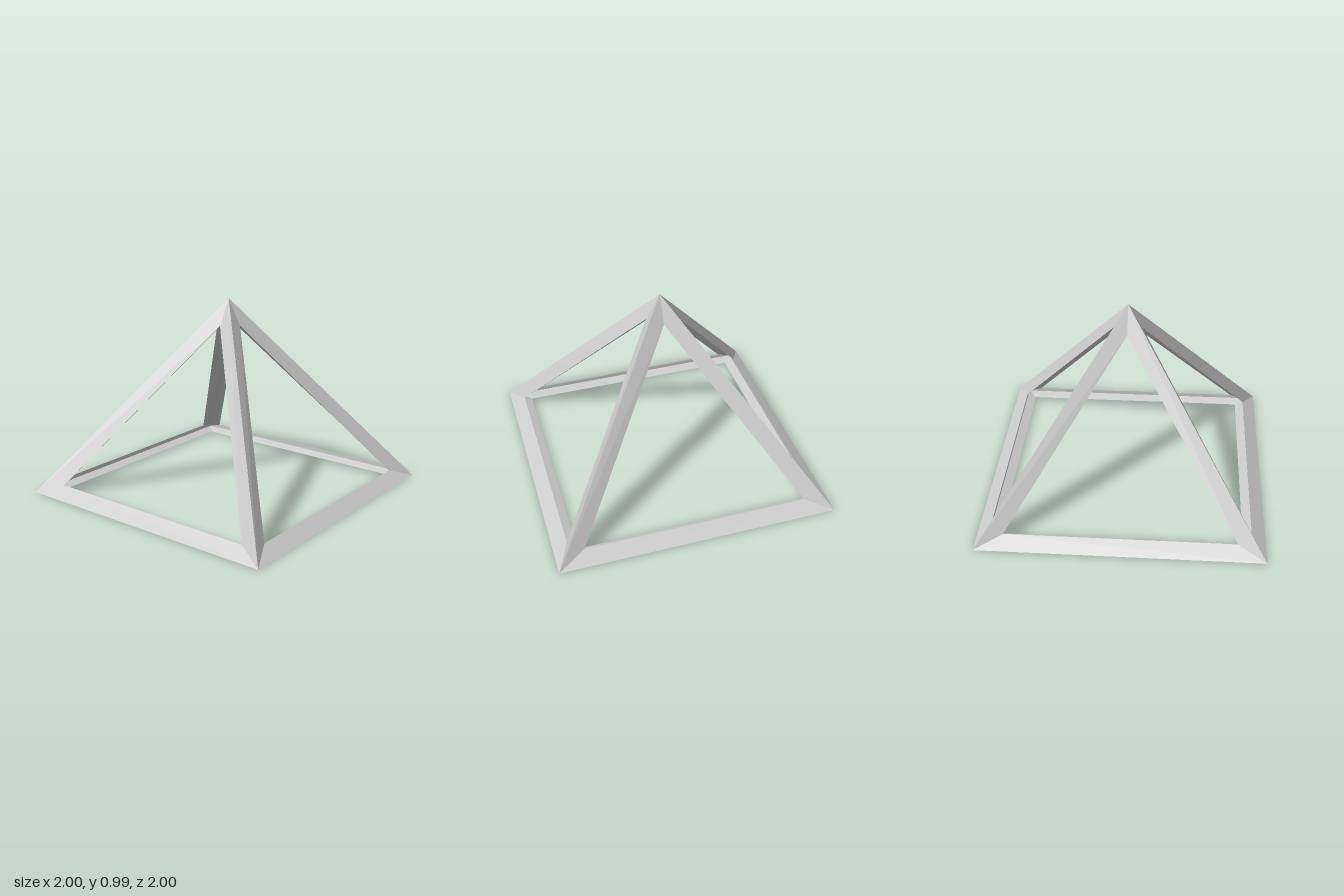
import * as THREE from 'three';

const material = new THREE.MeshStandardMaterial({ color: 0xcccccc, flatShading: true });

// Skin between two four-point end sections; the mitred ends meet the next bar.
function barGeometry(start, end) {
  const positions = [];
  for (let i = 0; i < 4; i++) {
    const j = (i + 1) % 4;
    const [a, b, c, d] = [start[i], start[j], end[j], end[i]];
    positions.push(...a, ...b, ...c, ...a, ...c, ...d);
  }
  const geometry = new THREE.BufferGeometry();
  geometry.setAttribute('position', new THREE.Float32BufferAttribute(positions, 3));
  geometry.computeVertexNormals();
  return geometry;
}

export function createModel() {
  const group = new THREE.Group();

  // Key sizes: outer ridge, side opening, inner ridge and base opening
  const apexY = 0.986, apexInnerY = 0.887;
  const openTop = 0.856, openFar = 0.852, open = 0.05;
  const innerR = 0.904, innerY = 0.029;
  const baseR = 0.84, baseY = 0.013;

  // Sloping leg from a base corner up to the apex
  const leg = barGeometry(
    [[1, 0, 0], [openFar, open, -open], [innerR, innerY, 0], [openFar, open, open]],
    [[0, apexY, 0], [open, openTop, -open], [0, apexInnerY, 0], [open, openTop, open]],
  );

  // Base rail from one corner to the next
  const rail = barGeometry(
    [[1, 0, 0], [openFar, open, open], [innerR, innerY, 0], [baseR, baseY, 0]],
    [[0, 0, 1], [open, open, openFar], [0, innerY, innerR], [0, baseY, baseR]],
  );

  // Four of each around the vertical axis
  for (let i = 0; i < 4; i++) {
    for (const [name, geometry] of [['slopingLeg', leg], ['baseRail', rail]]) {
      const mesh = new THREE.Mesh(geometry, material);
      mesh.name = `${name}${i + 1}`;
      mesh.rotation.y = i * Math.PI / 2;
      group.add(mesh);
    }
  }
  group.name = 'pyramidFrame';
  return group;
}
